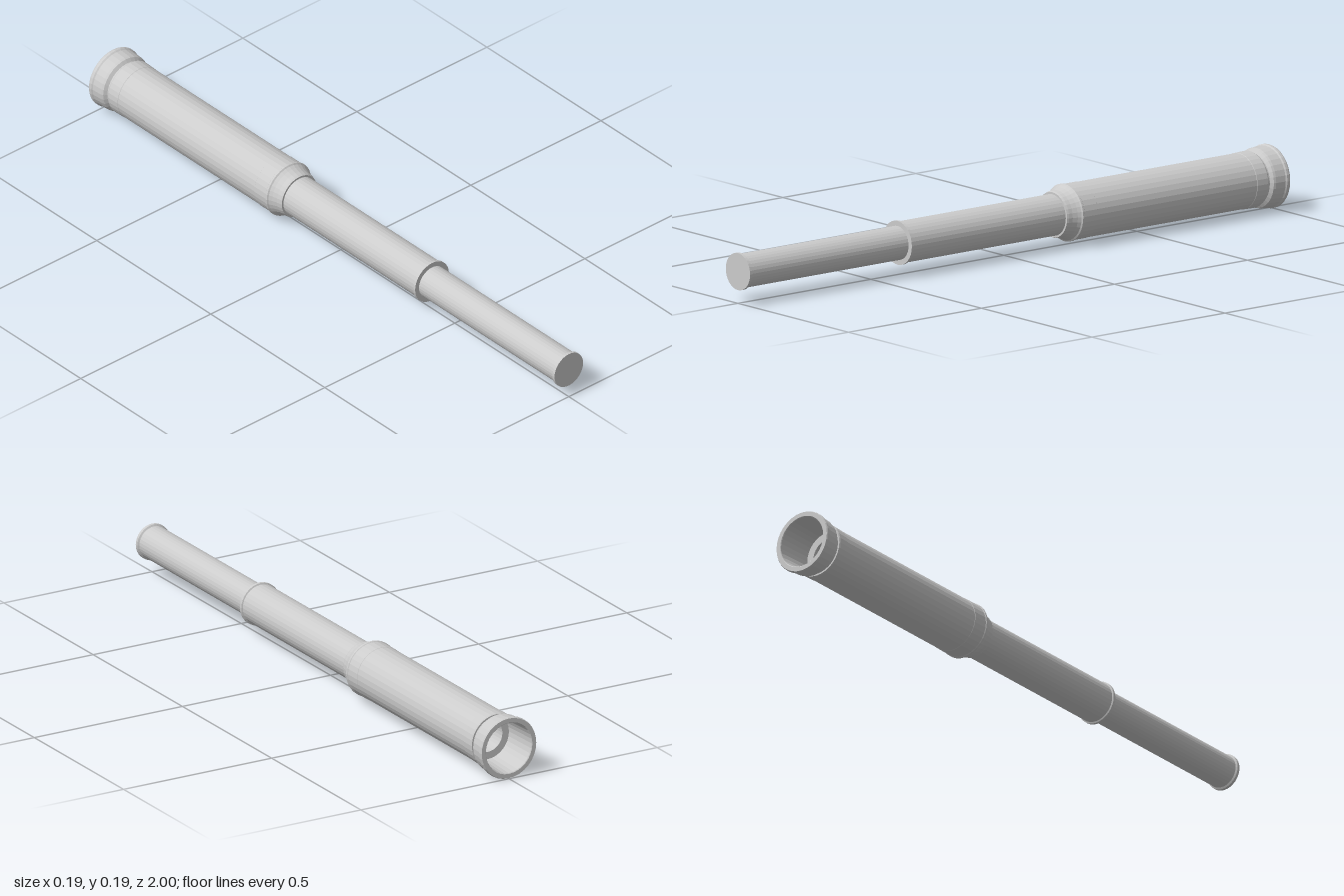
import * as THREE from 'three';

const SIDES = 32;
const AXIS_Y = 0.094;

export function createModel() {
  const model = new THREE.Group();
  model.name = 'telescope';
  const material = new THREE.MeshStandardMaterial({ color: 0xcccccc, flatShading: true });

  // Turned part from [radius, z] pairs, listed from the back to the front on the outside
  const turned = (name, profile) => {
    const points = profile.map(([r, z]) => new THREE.Vector2(r, z));
    const geometry = new THREE.LatheGeometry(points, SIDES);
    geometry.rotateX(Math.PI / 2);
    const mesh = new THREE.Mesh(geometry, material);
    mesh.name = name;
    mesh.position.y = AXIS_Y;
    model.add(mesh);
  };

  // Flared eyepiece with a recessed cup, a ledge and a narrow bore
  turned('eyepiece', [
    [0, -0.8], [0.05, -0.8], [0.05, -0.88], [0.072, -0.88],
    [0.077, -0.998], [0.079, -1], [0.092, -1], [0.094, -0.996],
    [0.094, -0.988], [0.091, -0.984], [0.089, -0.95], [0.087, -0.943],
    [0.077, -0.936], [0.077, -0.92],
  ]);

  // Main barrel with a band at each end
  turned('mainBarrel', [
    [0.076, -0.928], [0.082, -0.928], [0.084, -0.924], [0.083, -0.885],
    [0.082, -0.884], [0.082, -0.286], [0.083, -0.285],
    [0.083, -0.236], [0.085, -0.234], [0.085, -0.228], [0.081, -0.225],
  ]);

  // Tapered collar stepping down to the middle tube
  turned('collar', [
    [0.081, -0.225], [0.076, -0.215], [0.071, -0.2], [0.069, -0.188],
    [0.067, -0.182], [0.06, -0.182],
  ]);

  // Middle draw tube with a front lip
  turned('middleTube', [
    [0.061, -0.2], [0.061, 0.39], [0.065, 0.392], [0.065, 0.4], [0.049, 0.4],
  ]);

  // Front draw tube with a thin end flange and closed face
  turned('frontTube', [
    [0.05, 0.38], [0.05, 0.988], [0.055, 0.991], [0.055, 1], [0, 1],
  ]);

  return model;
}
